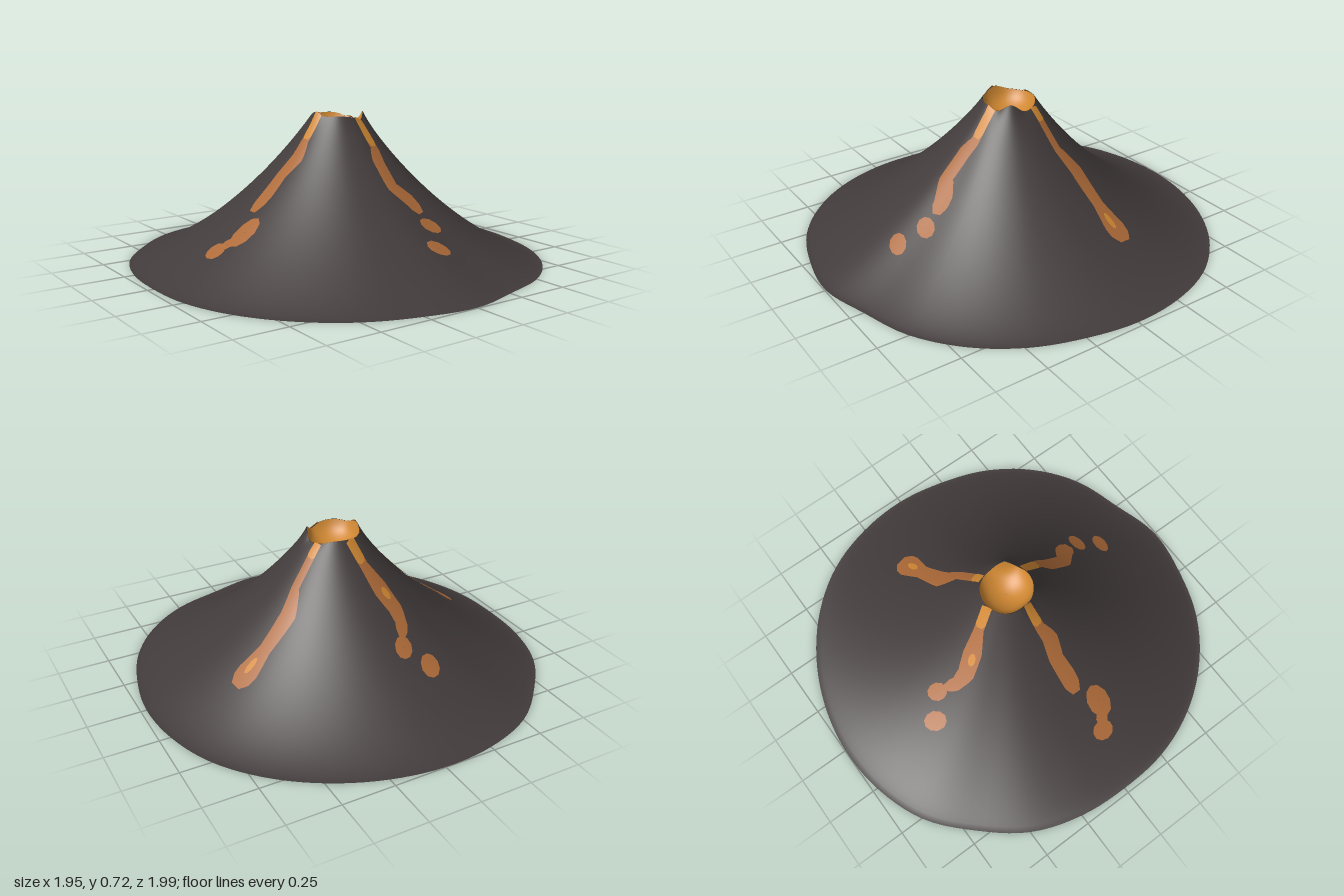
import * as THREE from 'three';
import { ParametricGeometry } from 'three/addons/geometries/ParametricGeometry.js';

const TAU = Math.PI * 2;
const RIM = 0.124;

// Base outline radius every 15 degrees, from +x towards +z
const OUTLINE = [0.973, 0.967, 0.98, 0.988, 0.985, 0.966, 0.995, 0.99, 1, 1, 0.995, 0.985,
  0.973, 0.985, 1, 0.997, 1.015, 1.008, 0.998, 0.988, 0.985, 0.988, 0.99, 0.98];

// Crater edge height every 30 degrees
const EDGE = [0.672, 0.71, 0.678, 0.693, 0.7, 0.698, 0.714, 0.694, 0.69, 0.694, 0.692, 0.674];

// Smooth closed interpolation of a table around the circle
function around(table, angle) {
  const n = table.length;
  const f = ((angle / TAU) % 1 + 1) % 1 * n, i = Math.floor(f), t = f - i;
  const [a, b, c, d] = [-1, 0, 1, 2].map((k) => table[(i + k + n) % n]);
  return b + 0.5 * t * (c - a + t * (2 * a - 5 * b + 4 * c - d + t * (3 * (b - c) + d - a)));
}

// Slope from crater edge (s = 0) to base (s = 1), fuller on the front right side
function slopeHeight(s, a) {
  const power = 1.72 - 0.35 * s - 0.1 * Math.cos(a - 2.36);
  return 0.69 * Math.pow(Math.max(0, 1 - s), power)
    + (around(EDGE, a) - 0.69) * Math.exp(-s * 26);
}

function coneHeight(x, z) {
  const a = Math.atan2(z, x);
  return slopeHeight(Math.max(0, (Math.hypot(x, z) - RIM) / (around(OUTLINE, a) - RIM)), a);
}

// Small rugged peak hidden inside the hollow mountain
function peakHeight(x, z) {
  const r = Math.hypot(x, z), a = Math.atan2(z, x);
  const slope = 0.01 + 0.14 * Math.max(0, 1 - r / 0.42) + 0.28 * Math.exp(-r * 11);
  const rough = Math.sin(5 * a + 20 * r) * 0.5 + Math.sin(8 * a - 34 * r) * 0.5;
  return slope + 0.025 * rough * Math.max(0, Math.min(1, (0.3 - r) * 6, r * 10));
}

export function createModel() {
  const model = new THREE.Group();
  const material = (name, color) =>
    new THREE.MeshStandardMaterial({ name, color, side: THREE.DoubleSide });
  const rock = material('dark rock', 0x423b3b);
  const lava = material('cooling lava', 0xad6a38);
  const glow = material('glowing lava', 0xd08832);

  const add = (name, mat, func, nu, nv) => {
    const mesh = new THREE.Mesh(new ParametricGeometry(func, nu, nv), mat);
    mesh.name = name;
    model.add(mesh);
  };

  // Mountain slope, open below
  add('mountain', rock, (u, v, p) => {
    const a = u * TAU, s = Math.pow(v, 1.3);
    const r = RIM + s * (around(OUTLINE, a) - RIM);
    p.set(r * Math.cos(a), slopeHeight(s, a), r * Math.sin(a));
  }, 120, 40);

  // Smooth crater bowl, meeting the jagged edge only at its lip
  add('crater', glow, (u, v, p) => {
    const a = u * TAU, t = 0.01 + 0.99 * v;
    const y = 0.61 + 0.06 * t * t + (around(EDGE, a) - 0.67) * Math.pow(t, 9);
    const r = (RIM - 0.002) * t;
    p.set(r * Math.cos(a), y, r * Math.sin(a));
  }, 60, 14);

  // Inner peak
  add('innerPeak', rock, (u, v, p) => {
    const a = u * TAU, r = 0.42 * (0.01 + 0.99 * v);
    const x = r * Math.cos(a), z = r * Math.sin(a);
    p.set(x, peakHeight(x, z), z);
  }, 72, 24);

  // Draped shapes get a skin on both sides of the slope
  const stream = (name, mat, points, lift = 0.004) => {
    const path = points.map(([x, z, w]) => new THREE.Vector3(x, w, z));
    const n = path.length - 1;
    const at = (t) => {
      const f = Math.min(Math.max(t, 0), 1) * n, i = Math.min(Math.floor(f), n - 1);
      return path[i].clone().lerp(path[i + 1], f - i);
    };
    for (const off of [lift, -lift]) {
      add(name, mat, (u, v, p) => {
        const c = at(v), d = at(v + 0.05).sub(at(v - 0.05));
        const len = Math.hypot(d.x, d.z);
        const w = c.y * (2 * u - 1) * Math.min(1, 0.55 + (1 - v) * 5);
        const x = c.x - d.z / len * w, z = c.z + d.x / len * w;
        p.set(x, coneHeight(x, z) + off, z);
      }, 4, n * 6);
    }
  };

  const patch = (name, mat, [cx, cz, rx, rz, turn = 0], height = coneHeight, lift = 0.004) => {
    for (const off of [lift, -lift]) {
      add(name, mat, (u, v, p) => {
        const a = u * TAU, r = 0.02 + 0.98 * v;
        const dx = r * rx * Math.cos(a), dz = r * rz * Math.sin(a);
        const x = cx + dx * Math.cos(turn) - dz * Math.sin(turn);
        const z = cz + dx * Math.sin(turn) + dz * Math.cos(turn);
        p.set(x, height(x, z) + off, z);
      }, 10, 4);
    }
  };

  // Lava streams: x, z, half width
  const streams = {
    frontStream: [[0.035, 0.12, 0.022], [0.055, 0.23, 0.025], [0.04, 0.28, 0.035],
      [0.042, 0.38, 0.036], [0.1, 0.43, 0.044], [0.125, 0.485, 0.038]],
    leftStream: [[0.112, -0.06, 0.02], [0.25, -0.1, 0.022], [0.32, -0.16, 0.042],
      [0.455, -0.19, 0.035], [0.55, -0.21, 0.06], [0.62, -0.22, 0.052]],
    backStream: [[-0.02, -0.124, 0.025], [-0.055, -0.2, 0.025], [-0.1, -0.27, 0.046],
      [-0.14, -0.34, 0.042], [-0.14, -0.4, 0.03], [-0.11, -0.45, 0.022]],
    rightStream: [[-0.122, 0.025, 0.02], [-0.21, 0.035, 0.025], [-0.265, 0.055, 0.04],
      [-0.34, 0.037, 0.037], [-0.42, 0.045, 0.042], [-0.5, 0.045, 0.038]],
  };
  for (const [name, points] of Object.entries(streams)) {
    stream(name, lava, points);
    const [x, z, w] = points[0], [x2, z2, w2] = points[1];
    const k = name === 'leftStream' ? 0.35 : 0.9;
    stream(name + 'Glow', glow,
      [[x, z, w], [x + (x2 - x) * k, z + (z2 - z) * k, w2]], 0.006);
  }

  // Separate lava pools: x, z, radii, turn
  [[0.13, 0.545, 0.056, 0.036], [0.078, 0.663, 0.058, 0.037, 0.2],
    [-0.1, -0.487, 0.05, 0.039, -0.7], [-0.193, -0.57, 0.057, 0.044, -0.8],
    [-0.585, 0.12, 0.074, 0.058], [-0.655, 0.09, 0.03, 0.03], [-0.7, 0.065, 0.043, 0.054]]
    .forEach((pool) => patch('lavaPool', lava, pool));
  patch('hotSpot', glow, [0.53, -0.2, 0.036, 0.016, -0.2], coneHeight, 0.007);
  patch('hotSpot', glow, [-0.12, -0.29, 0.024, 0.018, 0.9], coneHeight, 0.007);

  // Lava on the inner peak
  patch('innerLava', lava, [-0.22, 0.05, 0.065, 0.04, 0.8], peakHeight);
  patch('innerLava', lava, [0.3, -0.1, 0.05, 0.03], peakHeight);

  return model;
}
